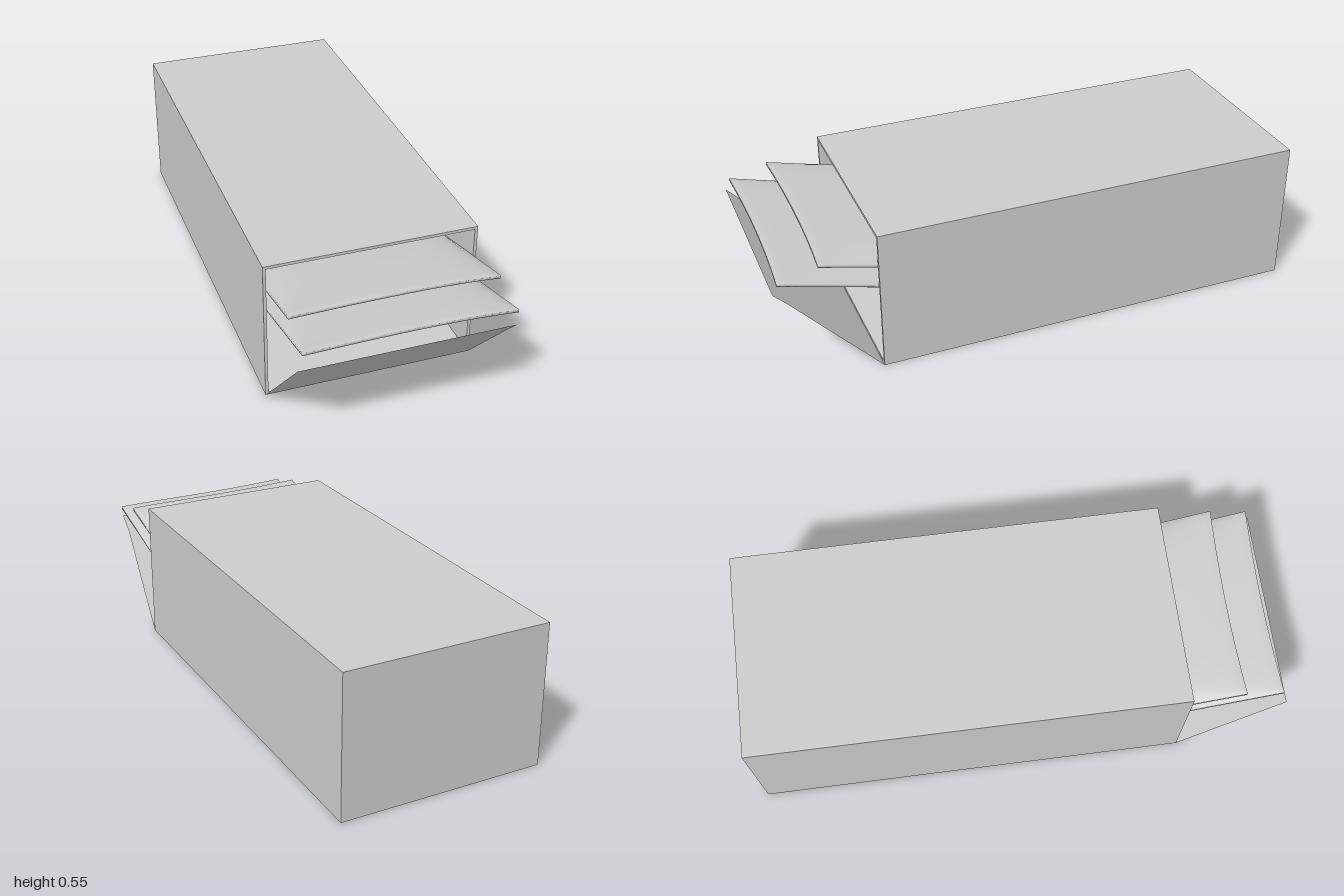
import * as THREE from 'three';
import { mergeVertices } from 'three/addons/utils/BufferGeometryUtils.js';

const W = 0.78, H = 0.545, FRONT = 0.63, BACK = -1, T = 0.011;
const material = new THREE.MeshStandardMaterial({ color: 0xcccccc });
const sheetMaterial = new THREE.MeshStandardMaterial({ color: 0xcccccc, side: THREE.DoubleSide });

// Box panel placed by its centre
function panel(name, size, position) {
  const mesh = new THREE.Mesh(new THREE.BoxGeometry(...size), material);
  mesh.position.set(...position);
  mesh.name = name;
  return mesh;
}

// Puffed packet: a thin slab, swollen in the middle, front edge slightly hollow
function makePacket(name, tipZ, tipY, length, slope, puff) {
  const width = 0.75, thin = 0.012;
  let geometry = new THREE.BoxGeometry(width, thin, length, 28, 2, 36);
  geometry.deleteAttribute('normal');
  geometry.deleteAttribute('uv');
  geometry = mergeVertices(geometry);
  const p = geometry.attributes.position;
  for (let i = 0; i < p.count; i++) {
    const u = p.getX(i) / (width / 2);
    const v = 0.5 - p.getZ(i) / length; // 0 at the tip, 1 inside the box
    const side = Math.sign(p.getY(i));
    const swell = Math.sqrt(Math.max(0, 1 - Math.pow(Math.abs(u), 4))) * Math.sin(Math.PI * v);
    const depth = v * length + 0.012 * (1 - u * u) * (1 - v);
    const drop = 0.008 * Math.max(0, u) ** 3;
    p.setXYZ(
      i,
      u * (width / 2 - 0.012 * v) + 0.006,
      tipY - thin / 2 - slope * depth - drop + side * (thin / 2 + swell * puff / 2),
      tipZ - depth
    );
  }
  geometry.computeVertexNormals();
  const mesh = new THREE.Mesh(geometry, material);
  mesh.name = name;
  return mesh;
}

// Thin tilted door, hinged on the lower front edge, one corner drawn in
function makeFlap() {
  const tall = Math.hypot(0.39, 0.37);
  const shape = new THREE.Shape([
    new THREE.Vector2(-W / 2, 0),
    new THREE.Vector2(W / 2, 0),
    new THREE.Vector2(0.383, tall * 0.32),
    new THREE.Vector2(0.369, tall * 0.86),
    new THREE.Vector2(0.373, tall),
    new THREE.Vector2(-W / 2, tall),
  ]);
  const mesh = new THREE.Mesh(new THREE.ShapeGeometry(shape), sheetMaterial);
  mesh.position.set(0, 0, FRONT);
  mesh.rotation.x = Math.atan2(0.37, 0.39);
  mesh.name = 'frontFlap';
  return mesh;
}

export function createModel() {
  const model = new THREE.Group();
  model.name = 'openBoxWithPackets';

  // Long box, open at the front
  const box = new THREE.Group();
  box.name = 'box';
  const depth = FRONT - BACK, midZ = (FRONT + BACK) / 2;
  box.add(panel('floor', [W, T, depth], [0, T / 2, midZ]));
  box.add(panel('lid', [W, T, depth], [0, H - T / 2, midZ]));
  box.add(panel('backWall', [W, H - 2 * T, T], [0, H / 2, BACK + T / 2]));
  for (const s of [-1, 1]) {
    box.add(panel(s > 0 ? 'leftWall' : 'rightWall',
      [T, H - 2 * T, depth - T], [s * (W - T) / 2, H / 2, midZ + T / 2]));
  }
  model.add(box);

  // Door and the two packets leaning out over it
  model.add(makeFlap());
  model.add(makePacket('upperPacket', 0.84, 0.487, 1.1, 0.25, 0.09));
  model.add(makePacket('lowerPacket', 0.985, 0.447, 1.1, 0.27, 0.095));
  return model;
}
